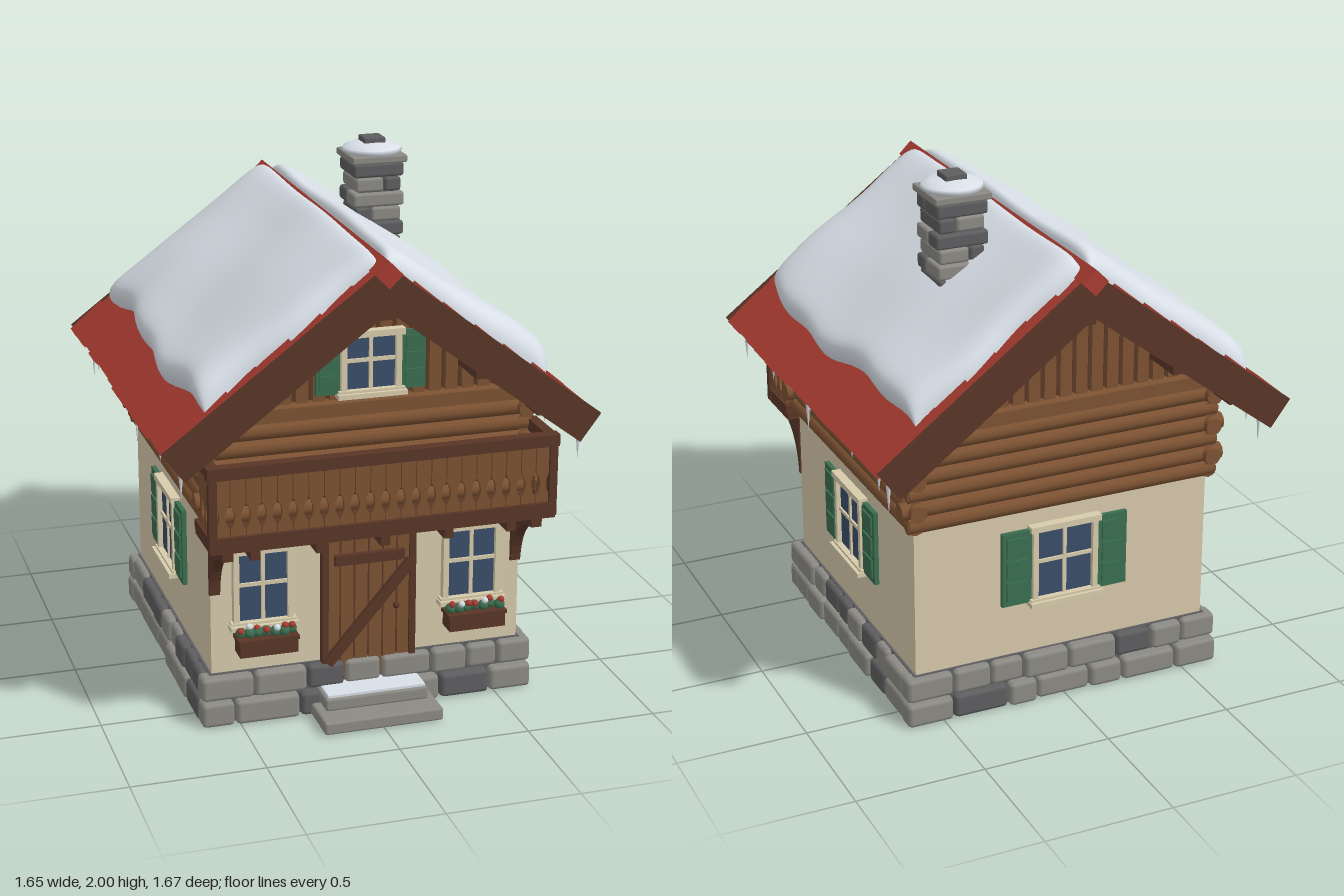
import * as THREE from 'three';
import { RoundedBoxGeometry } from 'three/addons/geometries/RoundedBoxGeometry.js';

const mat = (name, color, double) => {
  const m = new THREE.MeshStandardMaterial({ color });
  m.name = name;
  if (double) m.side = THREE.DoubleSide;
  return m;
};

export function createModel() {
  const stone = mat('stone', 0x8b8a84), darkStone = mat('darkStone', 0x5e5d5f);
  const plaster = mat('plaster', 0xd6c9ab), trim = mat('trim', 0xd6cbab);
  const wood = mat('wood', 0x7c5232), darkWood = mat('darkWood', 0x593627);
  const red = mat('tileRed', 0xa83c31), snow = mat('snow', 0xdfe6ee, true);
  const green = mat('shutterGreen', 0x3a6e50), glass = mat('glass', 0x3a4d69);

  let seed = 7;
  const rnd = () => (seed = (seed * 16807) % 2147483647) / 2147483647;
  const jit = (a) => (rnd() - 0.5) * 2 * a;
  const root = new THREE.Group();
  root.name = 'cottage';
  const add = (parent, name, geo, m, x = 0, y = 0, z = 0) => {
    const mesh = new THREE.Mesh(geo, m);
    mesh.name = name;
    mesh.position.set(x, y, z);
    parent.add(mesh);
    return mesh;
  };
  const box = (p, name, m, w, h, d, x, y, z) => add(p, name, new THREE.BoxGeometry(w, h, d), m, x, y, z);
  const block = (p, name, m, w, h, d, x, y, z) =>
    add(p, name, new RoundedBoxGeometry(w, h, d, 1, Math.min(w, h, d) * 0.2), m, x, y, z);
  const group = (name, parent = root) => {
    const g = new THREE.Group();
    g.name = name;
    parent.add(g);
    return g;
  };

  // Stone plinth: two courses of irregular blocks on each side
  box(root, 'plinthCore', darkStone, 1.22, 0.2, 1.22, 0, 0.105, 0);
  for (let side = 0; side < 4; side++) {
    const wall = group('plinthWall');
    wall.rotation.y = side * Math.PI / 2;
    const half = side % 2 ? 0.575 : 0.65;
    for (let row = 0; row < 2; row++) {
      const widths = Array.from({ length: row ? 8 : 7 }, () => 0.7 + rnd() * 0.7);
      const total = widths.reduce((a, b) => a + b);
      let x = -half;
      for (const k of widths) {
        const w = k / total * half * 2;
        block(wall, 'plinthStone', rnd() < 0.25 ? darkStone : stone, w - 0.006, 0.094 + jit(0.004), 0.085,
          x + w / 2, 0.052 + row * 0.103, 0.606 + jit(0.007) - row * 0.006);
        x += w;
      }
    }
  }
  block(root, 'lowerStep', stone, 0.46, 0.05, 0.25, 0, 0.03, 0.705);
  block(root, 'upperStep', stone, 0.4, 0.05, 0.16, 0, 0.08, 0.66);
  block(root, 'stepSnow', snow, 0.38, 0.014, 0.12, 0, 0.11, 0.67);

  // Plaster ground floor
  box(root, 'plasterWalls', plaster, 1.2, 0.6, 1.2, 0, 0.5, 0);

  // Log upper floor with crossing corners
  box(root, 'logCore', darkWood, 1.18, 0.44, 1.18, 0, 1.0, 0);
  for (let i = 0; i < 7; i++) for (const s of [-1, 1]) {
    const len = 1.25 + (i % 2) * 0.06;
    const a = add(root, 'sideLog', new THREE.CylinderGeometry(0.033, 0.033, len, 10), wood, s * 0.6, 0.825 + i * 0.062, 0);
    a.rotation.x = Math.PI / 2;
    const b = add(root, 'frontLog', new THREE.CylinderGeometry(0.033, 0.033, len, 10), wood, 0, 0.825 + i * 0.062, s * 0.6);
    b.rotation.z = Math.PI / 2;
  }

  // Gables: dark backing with vertical planks
  const roofY = (x, drop) => 1.775 - drop - 0.75 * Math.abs(x);
  const poly = (pts, d) => new THREE.ExtrudeGeometry(
    new THREE.Shape(pts.map(([x, y]) => new THREE.Vector2(x, y))), { depth: d, bevelEnabled: false });
  add(root, 'gableBacking', poly([[-0.6, 1.2], [0.6, 1.2], [0.6, roofY(0.6, 0.06)], [0, roofY(0, 0.06)], [-0.6, roofY(0.6, 0.06)]], 1.18),
    darkWood, 0, 0, -0.59);
  for (const z of [-0.612, 0.59]) {
    for (let i = 0; i < 19; i++) {
      const x = (i - 9) * 0.063, a = x - 0.023, b = x + 0.023;
      const pts = [[a, 1.2], [b, 1.2], [b, roofY(b, 0.06)]];
      if (i === 9) pts.push([0, roofY(0, 0.06)]);
      pts.push([a, roofY(a, 0.06)]);
      add(root, 'gablePlank', poly(pts, 0.022), wood, 0, 0, z);
    }
    box(root, 'gableBeam', wood, 1.2, 0.05, 0.05, 0, 1.195, Math.sign(z) * 0.61);
  }
  for (const [x, y] of [[0, 1.6], [0.38, 1.35], [-0.38, 1.35], [0.62, 1.19], [-0.62, 1.19]])
    box(root, 'purlin', darkWood, 0.065, 0.075, 1.56, x, y, 0);

  // Windows, facing +z from their own centre
  const makeWindow = (w, h, shutter, x, y, z, turn = 0) => {
    const g = group('window');
    g.position.set(x, y, z);
    g.rotation.y = turn;
    box(g, 'pane', glass, w, h, 0.008, 0, 0, 0.008);
    for (const s of [-1, 1]) {
      box(g, 'frameSide', trim, 0.022, h + 0.04, 0.03, s * (w / 2 + 0.008), 0, 0.015);
      box(g, 'frameRail', trim, w + 0.06, 0.024, 0.036, 0, s * (h / 2 + 0.01), 0.018);
      if (!shutter) continue;
      const sx = s * (w / 2 + 0.022 + shutter / 2);
      box(g, 'shutter', green, shutter, h + 0.02, 0.018, sx, 0, 0.012);
      for (const t of [-1, 0, 1])
        box(g, 'shutterPanel', green, shutter * 0.72, h * 0.27, 0.008, sx, t * h * 0.32, 0.024);
    }
    box(g, 'sill', trim, w + 0.07, 0.018, 0.05, 0, -h / 2 - 0.016, 0.025);
    box(g, 'mullion', trim, 0.014, h, 0.014, 0, 0, 0.013);
    box(g, 'glazingBar', trim, w, 0.014, 0.014, 0, 0.01, 0.013);
    return g;
  };
  for (const s of [-1, 1]) {
    makeWindow(0.23, 0.28, 0.12, s * 0.6, 0.57, 0, s * Math.PI / 2);
    makeWindow(0.19, 0.27, 0, s * 0.405, 0.54, 0.6);
    // Flower boxes
    const f = group('flowerBox');
    f.position.set(s * 0.405, 0, 0.66);
    box(f, 'planter', darkWood, 0.22, 0.065, 0.08, 0, 0.33, 0);
    box(f, 'planterRim', darkWood, 0.23, 0.014, 0.09, 0, 0.357, 0);
    for (let i = 0; i < 7; i++) {
      const x = (i - 3) * 0.032;
      add(f, 'leaves', new THREE.IcosahedronGeometry(0.021, 1), green, x, 0.377, jit(0.015));
      add(f, 'blossom', new THREE.IcosahedronGeometry(0.013, 1), i % 3 === 1 ? snow : red, x + jit(0.006), 0.397 + jit(0.005), 0.012 + jit(0.015));
    }
  }
  makeWindow(0.23, 0.28, 0.12, 0, 0.57, -0.6, Math.PI);
  makeWindow(0.19, 0.2, 0.09, 0, 1.365, 0.612);

  // Plank door with braces
  const door = group('door');
  box(door, 'doorFrame', darkWood, 0.36, 0.65, 0.02, 0, 0.445, 0.6);
  for (let i = 0; i < 6; i++) box(door, 'doorPlank', wood, 0.048, 0.62, 0.03, (i - 2.5) * 0.055, 0.445, 0.605);
  for (const s of [-1, 1]) box(door, 'doorPost', darkWood, 0.025, 0.65, 0.045, s * 0.17, 0.445, 0.608);
  box(door, 'crossBrace', darkWood, 0.27, 0.04, 0.02, 0, 0.61, 0.63);
  box(door, 'diagonalBrace', darkWood, 0.5, 0.04, 0.02, 0, 0.39, 0.632).rotation.z = 0.86;
  add(door, 'doorKnob', new THREE.SphereGeometry(0.013, 10, 8), darkWood, 0.105, 0.405, 0.632);

  // Balcony with cut-out planks
  const balcony = group('balcony');
  box(balcony, 'balconyFloor', darkWood, 1.3, 0.035, 0.23, 0, 0.785, 0.71);
  const ps = new THREE.Shape();
  ps.moveTo(-0.027, 0.8).lineTo(0.027, 0.8).lineTo(0.027, 0.855);
  ps.quadraticCurveTo(-0.005, 0.9, 0.027, 0.945);
  ps.lineTo(0.027, 1.05).lineTo(-0.027, 1.05).lineTo(-0.027, 0.945);
  ps.quadraticCurveTo(0.005, 0.9, -0.027, 0.855);
  const plankGeo = new THREE.ExtrudeGeometry(ps, { depth: 0.016, bevelEnabled: false, curveSegments: 6 });
  for (let i = 0; i < 22; i++) add(balcony, 'balconyPlank', plankGeo, wood, (i - 10.5) * 0.0575, 0, 0.797);
  for (const s of [-1, 1]) {
    for (let i = 0; i < 3; i++)
      add(balcony, 'balconySidePlank', plankGeo, wood, s * 0.635 - 0.008, 0, 0.66 + i * 0.0575).rotation.y = Math.PI / 2;
    box(balcony, 'sideRail', darkWood, 0.04, 0.045, 0.22, s * 0.635, 1.065, 0.71);
    box(balcony, 'sideFootRail', darkWood, 0.036, 0.03, 0.22, s * 0.635, 0.81, 0.71);
    box(balcony, 'cornerPost', darkWood, 0.03, 0.29, 0.03, s * 0.64, 0.92, 0.81);
    // Curved support brackets
    const b = new THREE.Shape();
    b.moveTo(0.595, 0.77).lineTo(0.81, 0.77).lineTo(0.81, 0.73);
    b.quadraticCurveTo(0.63, 0.71, 0.61, 0.52);
    b.lineTo(0.595, 0.52);
    add(balcony, 'bracket', new THREE.ExtrudeGeometry(b, { depth: 0.04, bevelEnabled: false }), darkWood, s * 0.585 + 0.02, 0, 0)
      .rotation.y = -Math.PI / 2;
  }
  box(balcony, 'handRail', darkWood, 1.32, 0.045, 0.045, 0, 1.067, 0.805);
  box(balcony, 'footRail', darkWood, 1.3, 0.035, 0.036, 0, 0.81, 0.808);
  for (let i = -2; i <= 2; i++) box(balcony, 'joist', darkWood, 0.035, 0.045, 0.22, i * 0.242, 0.75, 0.705);

  // Snow blanket on one slope: rounded edges and a wavy outline
  const snowGeometry = (phase) => {
    const g = new THREE.PlaneGeometry(1, 1, 36, 48), p = g.attributes.position;
    const ease = (t) => 0.5 - 0.5 * Math.cos(Math.PI * t);
    const edge = (t, k) => Math.sqrt(Math.max(0, 1 - Math.abs(2 * t - 1) ** k));
    for (let i = 0; i < p.count; i++) {
      const s = ease(p.getX(i) + 0.5), t = ease(p.getY(i) + 0.5);
      const z = (0.5 - t) * 2 * (0.755 + 0.008 * Math.sin(s * 11 + phase));
      const reach = 0.825 + 0.022 * Math.sin(z * 5 + phase) + 0.012 * Math.sin(z * 13 + phase * 2);
      const ripple = 0.006 * Math.sin(z * 7 + s * 4 + phase) + 0.004 * Math.sin(z * 3 - s * 9);
      const v = -0.012 + (0.074 + 0.022 * s + ripple) * edge(s, 14) * edge(t, 16);
      p.setXYZ(i, 0.015 + (reach - 0.015) * s - 0.75 * Math.max(v, 0) * (1 - s) ** 6, v, z);
    }
    g.computeVertexNormals();
    return g;
  };

  // Roof slopes: local x runs down the slope, local y is its normal
  for (let side = 0; side < 2; side++) {
    const holder = group('roofSide');
    holder.rotation.y = side * Math.PI;
    const slope = group('roofSlope', holder);
    slope.position.y = 1.775;
    slope.rotation.z = -Math.atan(0.75);
    box(slope, 'roofDeck', darkWood, 1.01, 0.03, 1.62, 0.505, -0.045, 0);
    box(slope, 'eavesBoard', darkWood, 0.025, 0.065, 1.62, 1.0, -0.055, 0);
    for (const s of [-1, 1]) box(slope, 'bargeBoard', darkWood, 1.025, 0.13, 0.025, 0.5125, -0.07, s * 0.815);
    for (let r = 0; r < 7; r++) {
      const cuts = [-0.8];
      for (let i = r % 2 ? 0.5 : 1; i < 14; i++) cuts.push(-0.8 + i * 1.6 / 14 + jit(0.008));
      cuts.push(0.8);
      for (let i = 0; i + 1 < cuts.length; i++) {
        const w = cuts[i + 1] - cuts[i];
        box(slope, 'roofTile', red, 0.17, 0.02, w - 0.005, 0.085 + r * 0.1435 + jit(0.006), -0.014 + jit(0.003), cuts[i] + w / 2)
          .rotation.z = -0.06;
      }
    }
    add(slope, 'roofSnow', snowGeometry(side * 2.1 + 0.6), snow);
  }
  // Ridge
  box(root, 'ridge', red, 0.035, 0.035, 1.62, 0, 1.765, 0).rotation.z = Math.PI / 4;
  for (const s of [-1, 1]) box(root, 'ridgeCap', red, 0.07, 0.07, 0.1, 0, 1.74, s * 0.785).rotation.z = Math.PI / 4;

  // Icicles along the eaves: position along the eave and length
  const icicles = [[0.79, 0.13], [0.74, 0.04], [0.69, 0.05], [0.5, 0.05], [0.47, 0.1], [0.43, 0.06], [0.13, 0.05], [0.08, 0.16],
    [0.05, 0.07], [-0.34, 0.05], [-0.38, 0.08], [-0.6, 0.06], [-0.64, 0.1], [-0.73, 0.15]];
  for (const s of [-1, 1]) for (const [z, len] of icicles)
    add(root, 'icicle', new THREE.ConeGeometry(0.012, len, 7), snow, s * 0.745, 1.105 - len / 2, z).rotation.x = Math.PI;

  // Chimney of stacked stones with a snowy cap
  const chimney = group('chimney');
  chimney.position.set(0.272, 0, -0.215);
  box(chimney, 'flue', darkStone, 0.15, 0.47, 0.15, 0, 1.68, 0);
  for (let i = 0; i < 8; i++) {
    const layer = group('chimneyCourse', chimney);
    layer.position.y = 1.477 + i * 0.058;
    layer.rotation.y = (i % 2) * Math.PI / 2;
    const split = jit(0.03), size = 0.185 + (i % 2) * 0.015;
    for (const s of [-1, 1]) {
      const w = size / 2 - s * split;
      block(layer, 'chimneyStone', rnd() < 0.4 ? darkStone : stone, w - 0.004, 0.054, size + jit(0.008), split + s * w / 2, 0, 0);
    }
  }
  block(chimney, 'chimneySlab', stone, 0.22, 0.028, 0.22, 0, 1.926, 0);
  const cap = [[0, -0.01], [0.1, -0.01], [0.117, 0.005], [0.112, 0.018], [0.08, 0.033], [0, 0.042]];
  add(chimney, 'chimneySnow', new THREE.LatheGeometry(cap.map(([r, y]) => new THREE.Vector2(r, y)), 24), snow, 0, 1.943, 0);
  block(chimney, 'chimneyTop', darkStone, 0.085, 0.028, 0.085, 0, 1.986, 0);

  return root;
}
